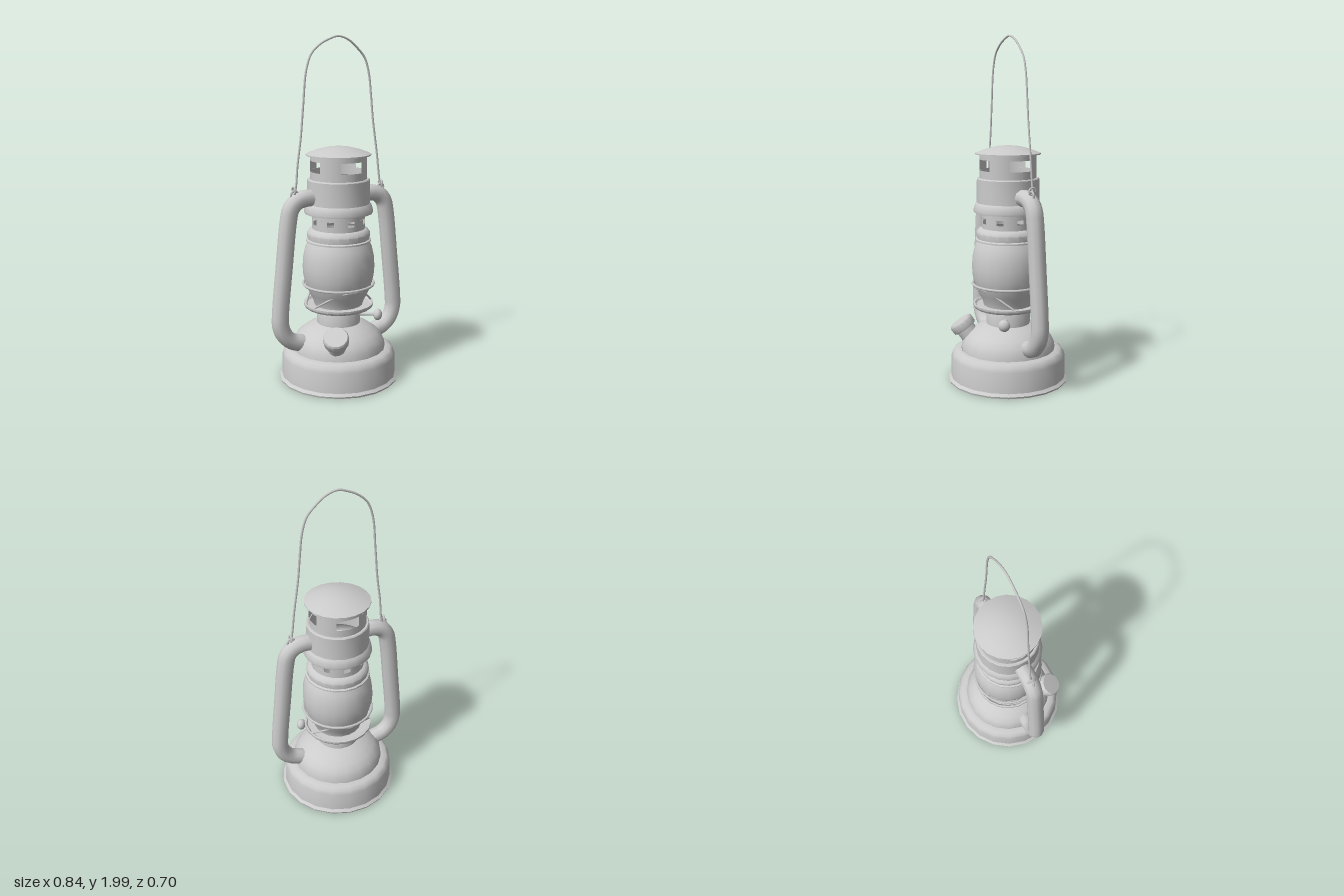
import * as THREE from 'three';
import { toCreasedNormals } from 'three/addons/utils/BufferGeometryUtils.js';

const SIDES = 20;
const solid = new THREE.MeshStandardMaterial({ color: 0xcccccc });
const shell = new THREE.MeshStandardMaterial({ color: 0xcccccc, side: THREE.DoubleSide });

export function createModel() {
  const lantern = new THREE.Group();
  lantern.name = 'lantern';

  const add = (name, geometry, material = solid, parent = lantern) => {
    const mesh = new THREE.Mesh(geometry, material);
    mesh.name = name;
    parent.add(mesh);
    return mesh;
  };
  const group = (name) => {
    const g = new THREE.Group();
    g.name = name;
    lantern.add(g);
    return g;
  };
  // Turned part from [radius, height] pairs, bottom to top
  const turned = (name, profile, parent = lantern, sides = SIDES) => add(name, toCreasedNormals(
    new THREE.LatheGeometry(profile.map(([r, y]) => new THREE.Vector2(r, y)), sides, Math.PI / sides), 0.65), shell, parent);
  const wire = (name, points, radius, segments, parent = lantern, sides = 6) => add(name, new THREE.TubeGeometry(
    new THREE.CatmullRomCurve3(points.map((p) => new THREE.Vector3(...p))), segments, radius, sides), solid, parent);

  // Round wall with evenly spaced openings, the first facing the front
  const piercedWall = (name, r, y0, y1, hole0, hole1, count, holeAngle) => {
    const wall = group(name);
    const band = (part, a, b, start = 0, sweep = Math.PI * 2, segments = 24) => {
      const m = add(part, new THREE.CylinderGeometry(r, r, b - a, segments, 1, true, start, sweep), shell, wall);
      m.position.y = (a + b) / 2;
    };
    band('lowerBand', y0, hole0);
    band('upperBand', hole1, y1);
    const step = Math.PI * 2 / count;
    for (let i = 0; i < count; i++) {
      band('post', hole0, hole1, i * step + holeAngle / 2, step - holeAngle, 4);
    }
  };

  // Fuel tank with its dome
  turned('base', [[0, 0.012], [0.335, 0.008], [0.35, 0.01], [0.353, 0.02], [0.338, 0.034], [0.334, 0.15],
    [0.326, 0.175], [0.308, 0.192], [0.277, 0.196]]);
  turned('tankDome', [[0.275, 0.194], [0.272, 0.225], [0.255, 0.262], [0.228, 0.292], [0.185, 0.322],
    [0.14, 0.342], [0.128, 0.346]]);
  turned('burnerCollar', [[0.128, 0.343], [0.128, 0.43], [0.12, 0.445]]);
  turned('globePlate', [[0.1, 0.442], [0.195, 0.442], [0.205, 0.455], [0.205, 0.467], [0.195, 0.468],
    [0.185, 0.458], [0.1, 0.458]]);

  // Glass globe and its wire guard
  turned('globe', [[0.142, 0.455], [0.15, 0.485], [0.172, 0.525], [0.193, 0.575], [0.206, 0.63], [0.21, 0.685],
    [0.206, 0.745], [0.193, 0.805], [0.172, 0.845]]);
  const guard = group('globeGuard');
  const ring = add('guardRing', new THREE.TorusGeometry(0.206, 0.008, 6, 32), solid, guard);
  ring.rotation.x = Math.PI / 2;
  ring.position.y = 0.583;
  for (const facing of [0, Math.PI]) {
    const arch = [];
    for (let i = -4; i <= 4; i++) {
      const t = i / 4;
      const a = facing + t * 1.3;
      const r = 0.207 - 0.035 * Math.sin(Math.PI * Math.abs(t)) - 0.012 * t * t;
      arch.push([r * Math.sin(a), 0.575 - 0.11 * Math.pow(Math.abs(t), 1.5), r * Math.cos(a)]);
    }
    wire('guardArch', arch, 0.006, 28, guard);
  }

  // Chimney stack
  turned('globeCollar', [[0.165, 0.838], [0.19, 0.838], [0.19, 0.847], [0.18, 0.852], [0.184, 0.885],
    [0.176, 0.9], [0.165, 0.91], [0.15, 0.914]]);
  piercedWall('ventBand', 0.153, 0.905, 1.005, 0.942, 0.972, 8, 0.26);
  turned('chimney', [[0.15, 1.004], [0.198, 1.004], [0.2, 1.015], [0.19, 1.05], [0.181, 1.06], [0.179, 1.195],
    [0.174, 1.201], [0.158, 1.201]]);
  piercedWall('hood', 0.163, 1.2, 1.345, 1.245, 1.306, 4, 0.82);
  turned('hoodCap', [[0.155, 1.338], [0.187, 1.335], [0.187, 1.342], [0.13, 1.364], [0.07, 1.379], [0, 1.386]]);

  // Side tubes with the ears that hold the bail
  for (const side of [1, -1]) {
    const arm = group(side > 0 ? 'leftArm' : 'rightArm');
    wire('sideTube', [[0.15, 1.1, 0], [0.215, 1.102, 0], [0.268, 1.085, 0], [0.302, 1.045, 0], [0.317, 0.98, 0],
      [0.346, 0.72, 0], [0.373, 0.45, 0], [0.374, 0.38, 0], [0.353, 0.32, 0], [0.31, 0.275, 0], [0.24, 0.25, 0]]
      .map(([x, y, z]) => [x * side, y, z]), 0.049, 44, arm, 10);
    const ear = add('bailEar', new THREE.TorusGeometry(0.021, 0.007, 6, 12), solid, arm);
    ear.position.set(0.278 * side, 1.128, 0);
    const hook = add('bailHook', new THREE.TorusGeometry(0.021, 0.006, 6, 12, Math.PI * 1.5), solid, arm);
    hook.position.set(0.28 * side, 1.15, -0.003);
    hook.rotation.set(0, Math.PI / 2, 0);
  }

  // Slightly bent wire bail
  wire('bail', [[-0.276, 1.13], [-0.266, 1.17], [-0.255, 1.29], [-0.234, 1.44], [-0.217, 1.62], [-0.197, 1.81],
    [-0.164, 1.9], [-0.106, 1.953], [-0.05, 1.98], [0, 1.994], [0.065, 1.975], [0.125, 1.927], [0.17, 1.875],
    [0.197, 1.79], [0.213, 1.66], [0.226, 1.53], [0.256, 1.32], [0.27, 1.2], [0.282, 1.13]]
    .map(([x, y]) => [x, y, -0.005]), 0.006, 90);

  // Filler neck and cap, leaning out from the dome
  const filler = group('filler');
  filler.position.set(-0.118, 0.275, 0.2);
  filler.quaternion.setFromUnitVectors(new THREE.Vector3(0, 1, 0), new THREE.Vector3(-0.3, 0.8, 0.48).normalize());
  turned('fillerNeck', [[0.056, -0.05], [0.056, 0.05]], filler, 14);
  turned('fillerCap', [[0.05, 0.038], [0.07, 0.038], [0.073, 0.046], [0.073, 0.082], [0.066, 0.092], [0, 0.094]], filler, 14);

  // Wick knob on its stem
  const wick = group('wickAdjuster');
  wick.position.set(0.095, 0.392, 0.062);
  wick.rotation.y = -Math.atan2(0.063, 0.098);
  const stem = add('wickStem', new THREE.CylinderGeometry(0.009, 0.009, 0.12, 8), solid, wick);
  stem.rotation.z = Math.PI / 2;
  stem.position.x = 0.06;
  const knob = add('wickKnob', new THREE.SphereGeometry(0.034, 12, 10), solid, wick);
  knob.scale.x = 0.8;
  knob.position.x = 0.118;

  return lantern;
}
